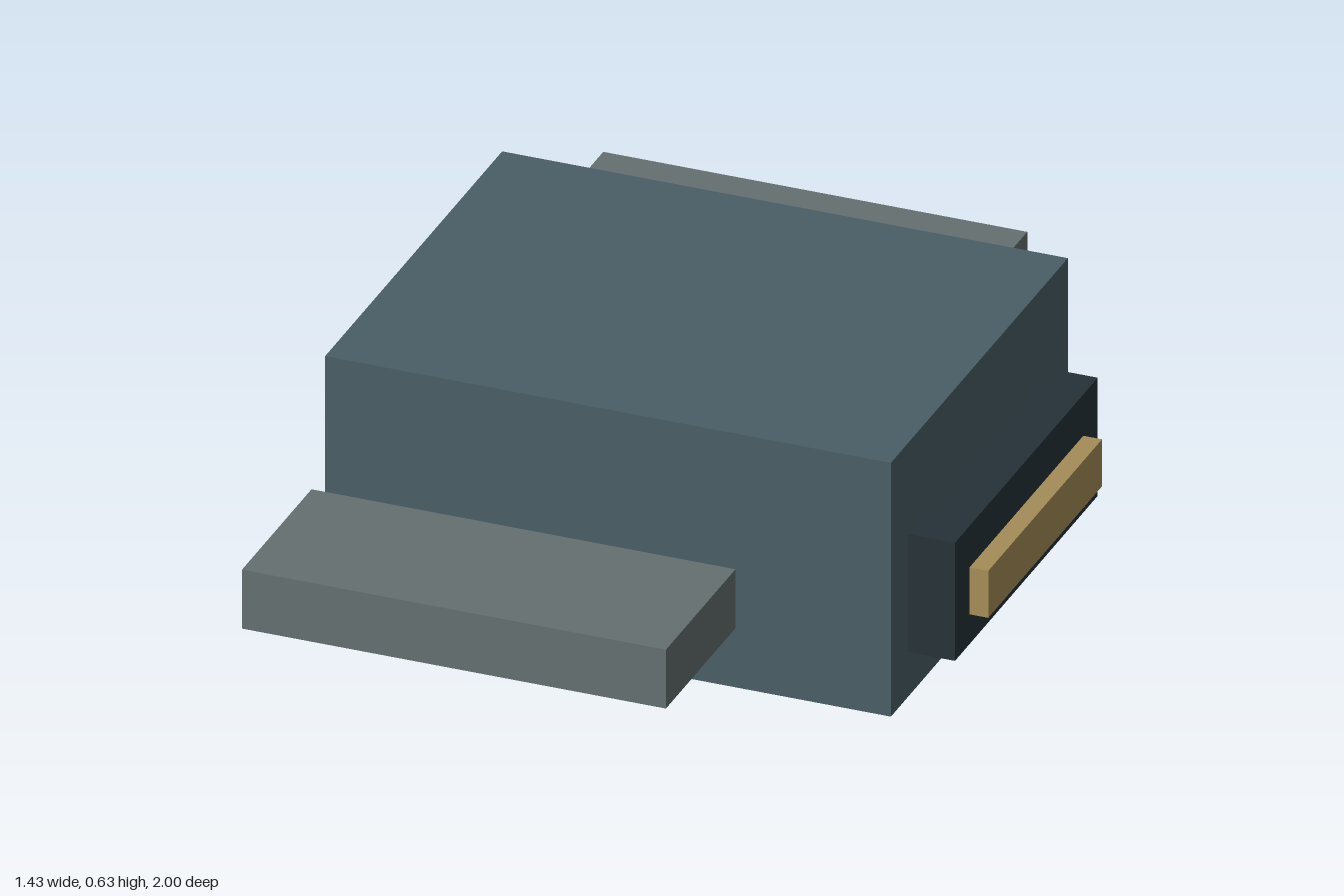
import * as THREE from 'three';

const paint = (color) => new THREE.MeshStandardMaterial({ color });

export function createModel() {
  const model = new THREE.Group();
  const hull = paint(0x4b5e66);
  const dark = paint(0x263238);
  const gold = paint(0xa68d58);
  const grey = paint(0x657070);
  const teal = paint(0x74a3ab);

  // Box given by its extents on each axis
  const box = (name, material, [x0, x1], [y0, y1], [z0, z1]) => {
    const mesh = new THREE.Mesh(new THREE.BoxGeometry(x1 - x0, y1 - y0, z1 - z0), material);
    mesh.position.set((x0 + x1) / 2, (y0 + y1) / 2, (z0 + z1) / 2);
    mesh.name = name;
    model.add(mesh);
  };

  // Main hull
  box('body', hull, [-0.7, 0.565], [0.04, 0.635], [-0.49, 0.49]);

  // Stepped nose with a bright window strip
  box('nose', dark, [0.5, 0.67], [0.145, 0.422], [-0.395, 0.395]);
  box('noseWindow', gold, [0.64, 0.712], [0.215, 0.325], [-0.315, 0.315]);

  // Rear hatch panel
  box('rearPanel', dark, [-0.715, -0.66], [0.105, 0.458], [-0.37, 0.37]);

  // Mirrored side pods, standing clear of the hull, and rear feet
  for (const [side, s] of [['left', -1], ['right', 1]]) {
    const span = (a, b) => (s > 0 ? [a, b] : [-b, -a]);
    box(side + 'SidePod', grey, [-0.68, 0.268], [0.25, 0.388], span(0.615, 1));
    box(side + 'RearFoot', teal, [-0.714, -0.61], [0, 0.22], span(0.158, 0.335));
  }

  return model;
}
